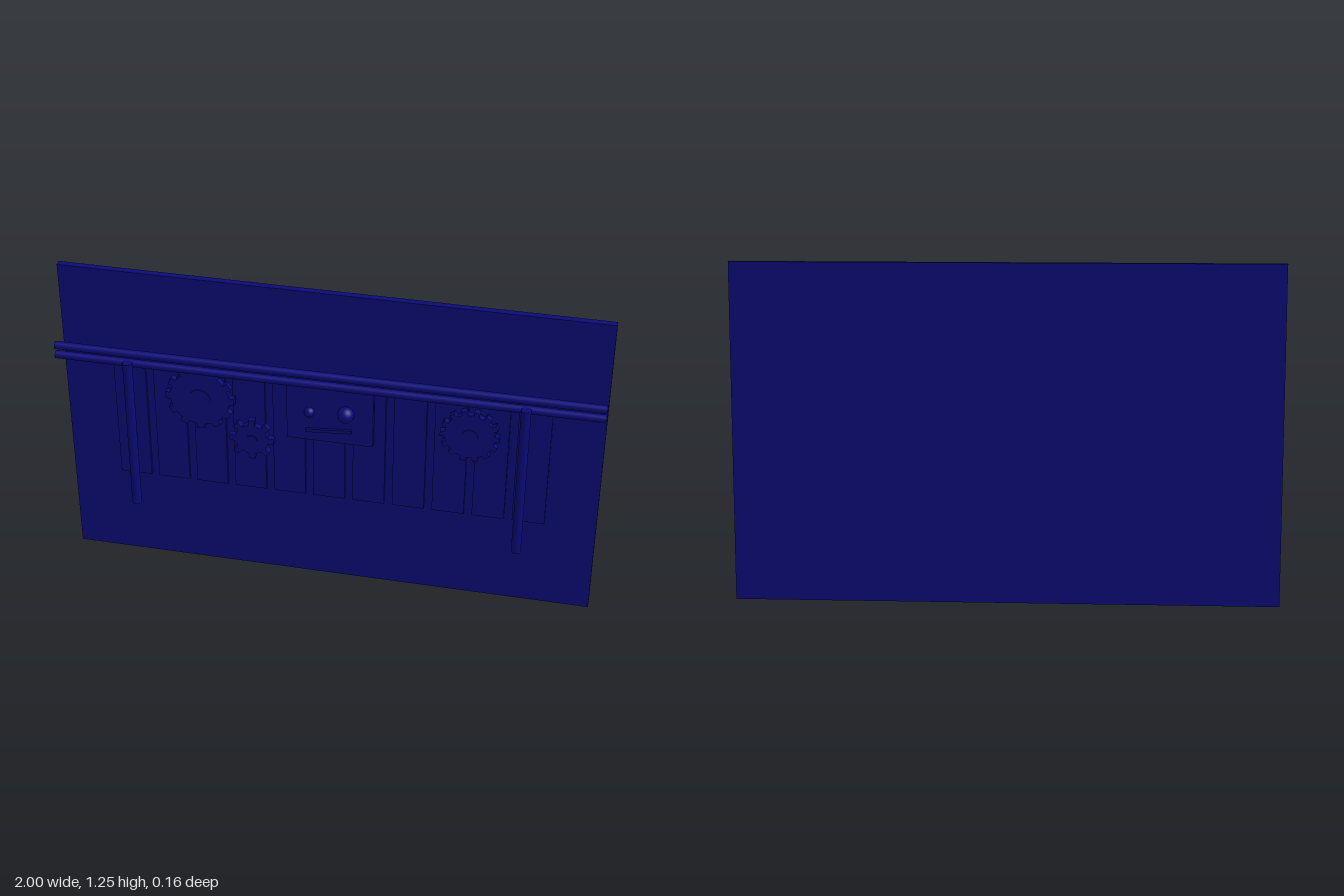
import * as THREE from 'three';

export function createModel() {
  const group = new THREE.Group();
  const navy = new THREE.MeshStandardMaterial({ color: 0x0a0a78 });
  navy.name = 'navy';

  const add = (name, geometry, x, y, z, parent = group) => {
    const mesh = new THREE.Mesh(geometry, navy);
    mesh.name = name;
    mesh.position.set(x, y, z);
    parent.add(mesh);
    return mesh;
  };

  // Back wall
  add('backWall', new THREE.BoxGeometry(2, 1.25, 0.025), 0, 0.625, -0.0655);

  // Row of planks on the wall
  for (let i = -5; i <= 5; i++) {
    add('plank', new THREE.BoxGeometry(0.12, 0.5, 0.015), i * 0.15, 0.626, -0.0475);
  }

  // Two long horizontal pipes
  for (const y of [0.926, 0.965]) {
    add('pipe', new THREE.CylinderGeometry(0.015, 0.015, 2, 20), 0, y, 0.037).rotation.z = Math.PI / 2;
  }

  // Upright posts in front
  for (const side of [-1, 1]) {
    add('post', new THREE.CylinderGeometry(0.018, 0.018, 0.625, 20), side * 0.722, 0.627, 0.061);
  }

  // Toothed wheel with block teeth and a raised hub
  const gear = (name, x, y, z, body, outer, teeth, hub) => {
    const wheel = new THREE.Group();
    wheel.name = name;
    wheel.position.set(x, y, z);
    group.add(wheel);
    add('disc', new THREE.CylinderGeometry(body, body, 0.024, 40), 0, 0, 0, wheel).rotation.x = Math.PI / 2;
    add('hub', new THREE.CylinderGeometry(hub, hub, 0.032, 24), 0, 0, 0, wheel).rotation.x = Math.PI / 2;
    const length = outer - body + 0.015;
    const width = Math.PI * body / teeth;
    for (let i = 0; i < teeth; i++) {
      const a = i / teeth * Math.PI * 2;
      const r = outer - length / 2;
      add('tooth', new THREE.BoxGeometry(length, width, 0.024), Math.cos(a) * r, Math.sin(a) * r, 0, wheel).rotation.z = a;
    }
  };
  gear('largeGear', -0.476, 0.776, -0.015, 0.112, 0.129, 12, 0.04);
  gear('smallGear', -0.28, 0.632, 0, 0.062, 0.084, 8, 0.02);
  gear('rightGear', 0.522, 0.752, -0.015, 0.092, 0.108, 14, 0.03);

  // Face panel with uneven eyes and a crooked mouth
  add('facePanel', new THREE.BoxGeometry(0.32, 0.226, 0.025), 0.01, 0.765, -0.019);
  add('smallEye', new THREE.SphereGeometry(0.02, 24, 16), -0.065, 0.777, -0.003);
  add('largeEye', new THREE.SphereGeometry(0.031, 24, 16), 0.07, 0.787, 0.004);
  add('mouth', new THREE.BoxGeometry(0.17, 0.013, 0.012), 0.006, 0.704, -0.003).rotation.z = 0.08;

  return group;
}
